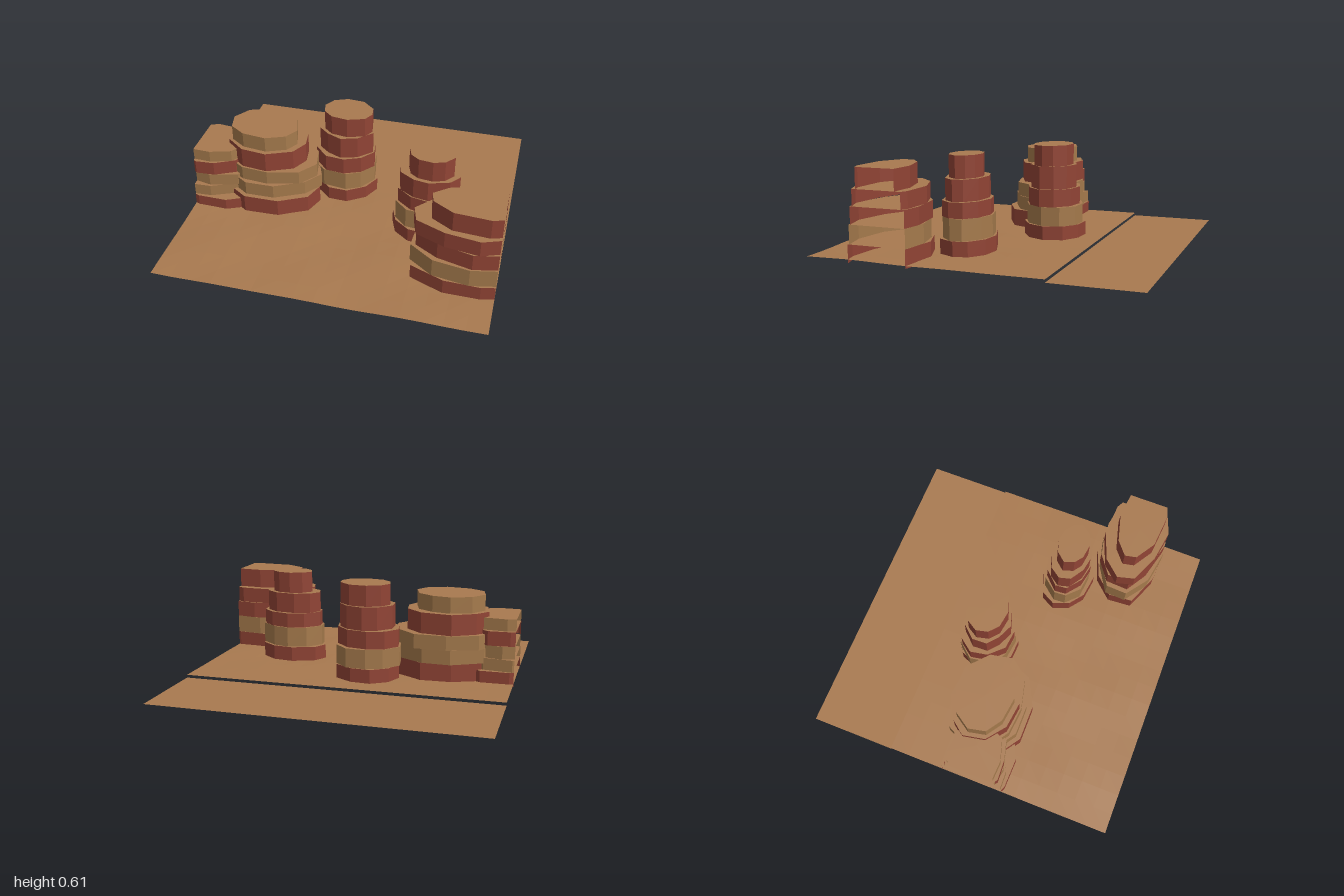
import * as THREE from 'three';

const mat = (name, color) => {
  const m = new THREE.MeshStandardMaterial({ color, side: THREE.DoubleSide, flatShading: true });
  m.name = name;
  return m;
};

// Small seeded generator
function seeded(seed) {
  let s = seed;
  return () => (s = (s * 16807) % 2147483647) / 2147483647;
}

function flatMesh(name, verts, material) {
  const g = new THREE.BufferGeometry();
  g.setAttribute('position', new THREE.Float32BufferAttribute(verts, 3));
  g.computeVertexNormals();
  const m = new THREE.Mesh(g, material);
  m.name = name;
  return m;
}

// Irregular polygon stretched to fill the box x0..x1, z0..z1
function outline([x0, x1, z0, z1], rand, sides = 10) {
  const pts = [];
  const turn = rand() * 0.6;
  for (let i = 0; i < sides; i++) {
    const a = ((i + turn + (rand() - 0.5) * 0.25) / sides) * Math.PI * 2;
    const r = 0.95 + rand() * 0.1;
    pts.push([Math.cos(a) * r, Math.sin(a) * r]);
  }
  const fit = (k, lo, hi) => {
    const v = pts.map((p) => p[k]);
    const a = Math.min(...v), b = Math.max(...v);
    pts.forEach((p) => { p[k] = lo + ((p[k] - a) / (b - a)) * (hi - lo); });
  };
  fit(0, x0, x1);
  fit(1, z0, z1);
  return pts;
}

// Cut a polygon at the tile edge: keep side * x <= 1
function clip(pts, side) {
  const out = [];
  pts.forEach((p, i) => {
    const q = pts[(i + 1) % pts.length];
    const pin = side * p[0] <= 1, qin = side * q[0] <= 1;
    if (pin) out.push(p);
    if (pin !== qin) {
      const t = (side - p[0]) / (q[0] - p[0]);
      out.push([side, p[1] + (q[1] - p[1]) * t]);
    }
  });
  return out;
}

// One rock layer: walls (left open along the tile edge) and a sandy top
function layer(box, y0, y1, wallMat, capMat, rand) {
  const pts = clip(clip(outline(box, rand), 1), -1);
  const n = pts.length;
  const cx = pts.reduce((s, p) => s + p[0], 0) / n;
  const cz = pts.reduce((s, p) => s + p[1], 0) / n;
  const walls = [], cap = [];
  pts.forEach(([ax, az], i) => {
    const [bx, bz] = pts[(i + 1) % n];
    cap.push(cx, y1, cz, bx, y1, bz, ax, y1, az);
    const onEdge = Math.abs(ax) > 0.9999 && Math.abs(bx) > 0.9999;
    if (!onEdge) {
      walls.push(ax, y0, az, ax, y1, az, bx, y0, bz);
      walls.push(bx, y0, bz, ax, y1, az, bx, y1, bz);
    }
  });
  const g = new THREE.Group();
  g.name = 'rockLayer';
  g.add(flatMesh('layerWall', walls, wallMat), flatMesh('layerTop', cap, capMat));
  return g;
}

// Each layer: [top height, colour (r red, t tan), x0, x1, z0, z1]
const MESAS = {
  wideMesa: [
    [0.13, 'r', -0.86, -0.22, -0.17, 0.30],
    [0.22, 't', -0.87, -0.21, -0.18, 0.27],
    [0.31, 't', -0.85, -0.235, -0.18, 0.25],
    [0.44, 'r', -0.83, -0.31, -0.17, 0.24],
    [0.54, 't', -0.80, -0.36, -0.13, 0.21],
  ],
  edgeMesaRight: [
    [0.09, 'r', -1.19, -0.6, -0.11, 0.32],
    [0.165, 't', -1.18, -0.66, -0.10, 0.30],
    [0.245, 't', -1.17, -0.66, -0.09, 0.28],
    [0.335, 'r', -1.15, -0.69, -0.08, 0.28],
    [0.41, 't', -1.13, -0.70, -0.06, 0.26],
  ],
  middleTower: [
    [0.105, 'r', -0.30, 0.115, -0.33, 0.05],
    [0.225, 't', -0.31, 0.10, -0.32, 0.035],
    [0.335, 'r', -0.30, 0.10, -0.30, 0.03],
    [0.48, 'r', -0.26, 0.09, -0.285, 0.015],
    [0.61, 'r', -0.24, 0.08, -0.26, -0.015],
  ],
  leftTower: [
    [0.11, 'r', 0.285, 0.73, 0.03, 0.36],
    [0.24, 't', 0.31, 0.72, 0.04, 0.33],
    [0.335, 'r', 0.32, 0.71, 0.05, 0.33],
    [0.465, 'r', 0.325, 0.70, 0.075, 0.32],
    [0.60, 'r', 0.38, 0.66, 0.10, 0.295],
  ],
  edgeMesaLeft: [
    [0.11, 'r', 0.48, 1.22, 0.32, 0.745],
    [0.225, 't', 0.48, 1.22, 0.33, 0.745],
    [0.33, 'r', 0.51, 1.20, 0.335, 0.735],
    [0.43, 'r', 0.48, 1.20, 0.345, 0.73],
    [0.555, 'r', 0.58, 1.16, 0.40, 0.685],
  ],
};

export function createModel() {
  const model = new THREE.Group();
  model.name = 'desertTile';
  const red = mat('redRock', 0x914435);
  const tan = mat('tanRock', 0xa57a4c);
  const sand = mat('sand', 0xa8794f);

  // Gently rolling ground, level along its back edge
  const backZ = -0.46;
  const geo = new THREE.PlaneGeometry(2, 1 - backZ, 16, 12).rotateX(-Math.PI / 2);
  geo.translate(0, 0.018, (1 + backZ) / 2);
  const pos = geo.attributes.position;
  for (let i = 0; i < pos.count; i++) {
    const x = pos.getX(i), z = pos.getZ(i);
    const fade = Math.min(1, (z - backZ) / 0.8);
    pos.setY(i, 0.018 + 0.004 * fade * Math.sin(x * 9 + z * 3) * Math.cos(z * 7 - x * 2));
  }
  geo.computeVertexNormals();
  const ground = new THREE.Mesh(geo, sand);
  ground.name = 'ground';
  model.add(ground);

  // Lower flat strip behind the ground
  const strip = new THREE.Mesh(new THREE.PlaneGeometry(2, 1 + backZ).rotateX(-Math.PI / 2), sand);
  strip.position.z = (backZ - 1) / 2;
  strip.name = 'backStrip';
  model.add(strip);

  // Stacked rock formations
  Object.entries(MESAS).forEach(([name, layers], k) => {
    const mesa = new THREE.Group();
    mesa.name = name;
    const rand = seeded(4217 + k * 9973);
    let y = 0;
    for (const [top, colour, ...box] of layers) {
      mesa.add(layer(box, y, top, colour === 'r' ? red : tan, sand, rand));
      y = top;
    }
    model.add(mesa);
  });
  return model;
}
